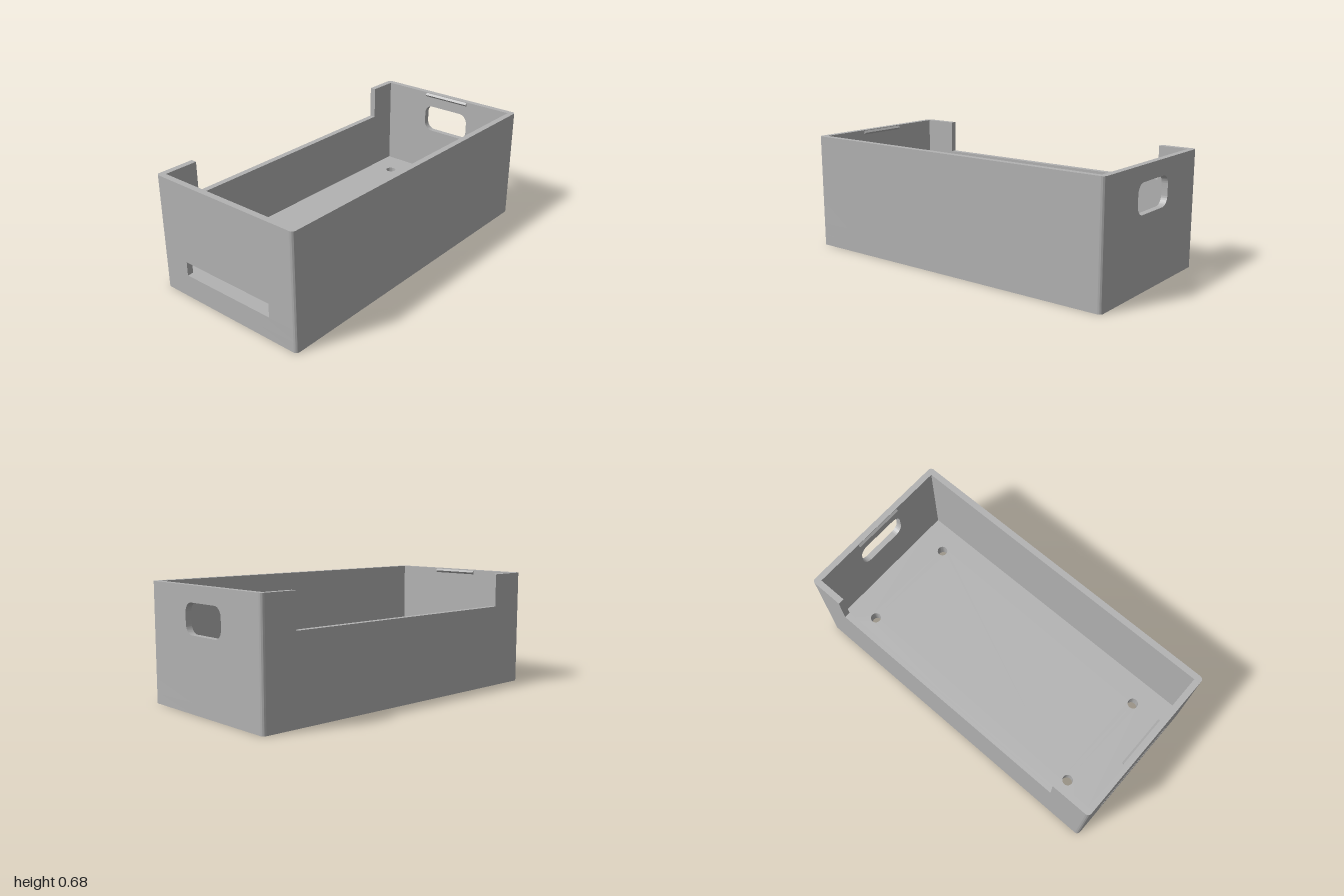
import * as THREE from 'three';
import { toCreasedNormals } from 'three/addons/utils/BufferGeometryUtils.js';

const W = 0.49, L = 1, H = 0.68;      // half width, half length, height
const T = 0.036, FLOOR = 0.135;       // wall and floor thickness
const R = 0.022;                      // outer corner radius
const POCKET = 0.06;                  // depth of the pockets under the floor

// Rectangle with its own radius at each corner: [x0y0, x1y0, x1y1, x0y1]
function rect(x0, y0, x1, y1, [a, b, c, d] = [0, 0, 0, 0], Type = THREE.Shape) {
  const s = new Type();
  s.moveTo(x0 + a, y0);
  s.lineTo(x1 - b, y0);
  if (b) s.absarc(x1 - b, y0 + b, b, -Math.PI / 2, 0, false);
  s.lineTo(x1, y1 - c);
  if (c) s.absarc(x1 - c, y1 - c, c, 0, Math.PI / 2, false);
  s.lineTo(x0 + d, y1);
  if (d) s.absarc(x0 + d, y1 - d, d, Math.PI / 2, Math.PI, false);
  s.lineTo(x0, y0 + a);
  if (a) s.absarc(x0 + a, y0 + a, a, Math.PI, Math.PI * 1.5, false);
  return s;
}

const extrude = (shape, depth) =>
  new THREE.ExtrudeGeometry(shape, { depth, bevelEnabled: false, curveSegments: 12 });

export function createModel() {
  const group = new THREE.Group();
  const grey = new THREE.MeshStandardMaterial({ color: 0xb2b2b2 });
  grey.name = 'grey';

  const add = (name, geometry) => {
    const mesh = new THREE.Mesh(toCreasedNormals(geometry, 0.6), grey);
    mesh.name = name;
    group.add(mesh);
  };
  // Raise a plan outline (x, -z) from y0 to y1
  const raise = (name, shape, y0, y1) =>
    add(name, extrude(shape, y1 - y0).rotateX(-Math.PI / 2).translate(0, y0, 0));

  // Floor: wide pockets below, narrow holes above
  const floorLayer = (name, radius, y0, y1) => {
    const plan = rect(-W, -L, W, L, [R, R, R, R]);
    for (const x of [-0.307, 0.307]) {
      for (const z of [-0.79, 0.76]) {
        plan.holes.push(new THREE.Path().absarc(x, -z, radius, 0, Math.PI * 2, true));
      }
    }
    raise(name, plan, y0, y1);
  };
  floorLayer('floorPockets', 0.077, 0, POCKET);
  floorLayer('floorHoles', 0.031, POCKET, FLOOR);

  // Long walls, the one at -x cut down between two end posts
  raise('leftWall', rect(W - T, -L, W, L, [0, R, R, 0]), FLOOR, H);
  raise('rightWall', rect(-W, -L, -W + T, L, [R, 0, 0, R]), FLOOR, 0.485);
  raise('rightFrontPost', rect(-W, -L, -W + T, -0.76, [R, 0, 0, 0]), 0.485, H);
  raise('rightBackPost', rect(-W, 0.79, -W + T, L, [0, 0, 0, R]), 0.485, H);

  // Front wall with a slot level with the floor
  const inner = W - T;
  const front = new THREE.Shape([
    [-inner, FLOOR], [-0.307, FLOOR], [-0.307, 0.217], [0.307, 0.217],
    [0.307, FLOOR], [inner, FLOOR], [inner, H], [-inner, H],
  ].map(([x, y]) => new THREE.Vector2(x, y)));
  add('frontWall', extrude(front, T).translate(0, 0, L - T));

  // Back wall with a rounded handle opening
  const back = rect(-inner, FLOOR, inner, H);
  back.holes.push(rect(-0.16, 0.42, 0.16, 0.59, [0.055, 0.055, 0.055, 0.055], THREE.Path));
  add('backWall', extrude(back, T).translate(0, 0, -L));

  // Small catch ridges inside the end walls
  for (const [name, turn] of [['backRidge', 0], ['frontRidge', Math.PI]]) {
    const profile = new THREE.Shape([
      new THREE.Vector2(0, 0.676), new THREE.Vector2(0, 0.652), new THREE.Vector2(0.011, 0.664),
    ]);
    add(name, extrude(profile, 0.31).translate(0, 0, -0.155).rotateY(-Math.PI / 2)
      .translate(0, 0, -L + T).rotateY(turn));
  }
  return group;
}
